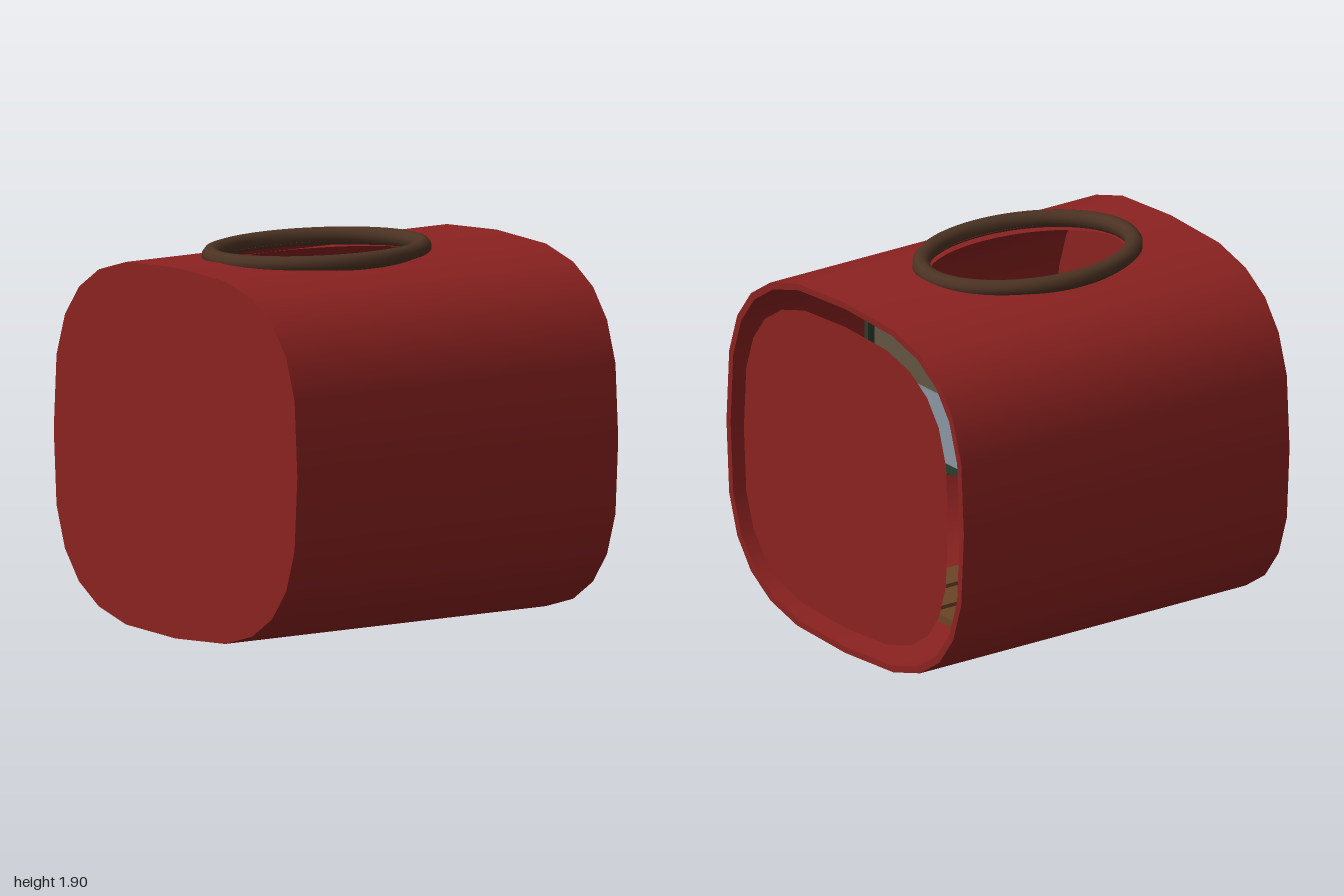
import * as THREE from 'three';
import { mergeGeometries } from 'three/addons/utils/BufferGeometryUtils.js';

const A = 0.98, B = 0.925, CY = 0.93, SIDES = 24;
const HATCH = { x: 0.38, z: 0.535, cz: 0.12 };

const mat = (color) => new THREE.MeshStandardMaterial({ color, side: THREE.DoubleSide });
const RED = mat(0x8b2220), WOOD = mat(0x6b4526), DARKWOOD = mat(0x4c3323), BLACK = mat(0x15171c);
const GLASS = mat(0x7f8a96), BEIGE = mat(0xa08c6c), GREEN = mat(0x2c3d2c);

// Rounded-square cross-section, starting at the top
function section(scale) {
  const pts = [];
  for (let k = 0; k < SIDES; k++) {
    const t = (k / SIDES) * Math.PI * 2;
    const r = (v) => (Math.abs(v) < 1e-9 ? 0 : Math.sign(v) * Math.abs(v) ** (2 / 3));
    pts.push(new THREE.Vector2(A * scale * r(Math.sin(t)), CY + B * scale * r(Math.cos(t))));
  }
  return pts;
}

// One skin of the hull: flat strips, with the two top strips cut by the oval hatch
function hullSkin(scale) {
  const p = section(scale), strips = [];
  const pos = [];
  for (let k = 1; k < SIDES - 1; k++) {
    const a = p[k], b = p[k + 1];
    pos.push(a.x, a.y, 1, b.x, b.y, 1, b.x, b.y, -1, a.x, a.y, 1, b.x, b.y, -1, a.x, a.y, -1);
  }
  const g = new THREE.BufferGeometry();
  g.setAttribute('position', new THREE.Float32BufferAttribute(pos, 3));
  strips.push(g);
  for (const s of [1, -1]) {
    const w = p[1].x, shape = new THREE.Shape();
    shape.moveTo(0, -1);
    shape.lineTo(s * w, -1);
    shape.lineTo(s * w, 1);
    shape.lineTo(0, 1);
    for (let i = 0; i <= 20; i++) {
      const a = Math.PI / 2 - (i / 20) * Math.PI;
      shape.lineTo(s * HATCH.x * Math.cos(a), -HATCH.cz + HATCH.z * Math.sin(a));
    }
    const top = new THREE.ShapeGeometry(shape).toNonIndexed();
    top.deleteAttribute('uv');
    top.deleteAttribute('normal');
    const q = top.attributes.position;
    for (let i = 0; i < q.count; i++) {
      const x = q.getX(i), v = q.getY(i);
      q.setXYZ(i, x, p[0].y + (p[1].y - p[0].y) * Math.abs(x) / w, -v);
    }
    strips.push(top);
  }
  // Smooth normals across the strips
  const skin = mergeGeometries(strips), q = skin.attributes.position, normals = [];
  for (let i = 0; i < q.count; i++) {
    const x = q.getX(i) / A, y = (q.getY(i) - CY) / B;
    const n = new THREE.Vector3(x * Math.abs(x) / A, y * Math.abs(y) / B, 0).normalize();
    normals.push(n.x, n.y, n.z);
  }
  skin.setAttribute('normal', new THREE.Float32BufferAttribute(normals, 3));
  return skin;
}

export function createModel() {
  const model = new THREE.Group();
  const add = (name, geo, material, x = 0, y = 0, z = 0, rx = 0) => {
    const m = new THREE.Mesh(geo, material);
    m.name = name;
    m.position.set(x, y, z);
    m.rotation.x = rx;
    model.add(m);
    return m;
  };
  const box = (name, material, w, h, d, x, y, z, rx = 0) =>
    add(name, new THREE.BoxGeometry(w, h, d), material, x, y, z, rx);
  const rod = (name, material, r, from, to) => {
    const line = new THREE.LineCurve3(new THREE.Vector3(...from), new THREE.Vector3(...to));
    return add(name, new THREE.TubeGeometry(line, 1, r, 8), material);
  };

  // Hull shell, closed at the front and rimmed at the back
  add('hullOuter', hullSkin(1), RED);
  add('hullInner', hullSkin(0.965), RED);
  add('frontWall', new THREE.ShapeGeometry(new THREE.Shape(section(1))), RED, 0, 0, 1);
  const ring = new THREE.Shape(section(1));
  ring.holes.push(new THREE.Path(section(0.965)));
  add('backRim', new THREE.ShapeGeometry(ring).rotateY(Math.PI), RED, 0, 0, -1);
  add('backWall', new THREE.ShapeGeometry(new THREE.Shape(section(0.86))).rotateY(Math.PI), RED, 0, 0, -0.995);

  // Oval hatch frame
  const oval = [];
  for (let i = 0; i < 32; i++) {
    const a = (i / 32) * Math.PI * 2;
    oval.push(new THREE.Vector3(0.42 * Math.cos(a), 1.857, HATCH.cz + 0.575 * Math.sin(a)));
  }
  add('hatchFrame', new THREE.TubeGeometry(new THREE.CatmullRomCurve3(oval, true), 64, 0.045, 10, true), DARKWOOD);

  // Floor planks
  for (const x of [-0.22, 0, 0.22]) box('floorPlank', WOOD, 0.18, 0.04, 1.3, x, 0.14, 0.1);

  // Bench
  box('benchBase', DARKWOOD, 0.4, 0.24, 0.26, 0, 0.28, 0.44);
  box('benchSeat', DARKWOOD, 0.44, 0.07, 0.3, 0, 0.43, 0.44);
  box('benchBack', DARKWOOD, 0.42, 0.42, 0.06, 0, 0.62, 0.6, 0.12);
  add('ball', new THREE.SphereGeometry(0.09, 20, 14), BLACK, -0.33, 0.26, 0.38);

  // Dashboard with dials
  box('dashboard', GREEN, 0.8, 0.34, 0.03, 0, 0.95, -0.31);
  box('dashboardGlass', GLASS, 0.8, 0.3, 0.03, 0, 1.05, -0.4, 0.25);
  for (const x of [-0.22, 0, 0.22]) box('dashboardBracket', BLACK, 0.09, 0.06, 0.06, x, 1.0, -0.35);

  // Control column
  rod('column', BLACK, 0.025, [0, 0.16, 0.18], [0, 0.72, 0.06]);
  rod('handlebar', BLACK, 0.018, [-0.13, 0.72, 0.06], [0.13, 0.72, 0.06]);

  // Mirrored parts
  for (const s of [-1, 1]) {
    add('handleKnob', new THREE.SphereGeometry(0.032, 14, 10), WOOD, s * 0.14, 0.72, 0.06);
    rod('strut', BLACK, 0.008, [s * 0.14, 0.62, -0.06], [0, 0.45, 0.12]);
    box('screenFrame', WOOD, 0.14, 0.03, 0.26, s * 0.18, 0.72, -0.17, 0.35);
    box('screen', GLASS, 0.11, 0.02, 0.18, s * 0.18, 0.732, -0.165, 0.35);
    box('sidePanel', BEIGE, 0.02, 0.66, 0.66, s * 0.88, 1.0, 0.13);
    for (const z of [-0.2, 0.46]) box('sidePanelPost', GREEN, 0.03, 0.7, 0.04, s * 0.875, 1.0, z);
  }
  return model;
}
